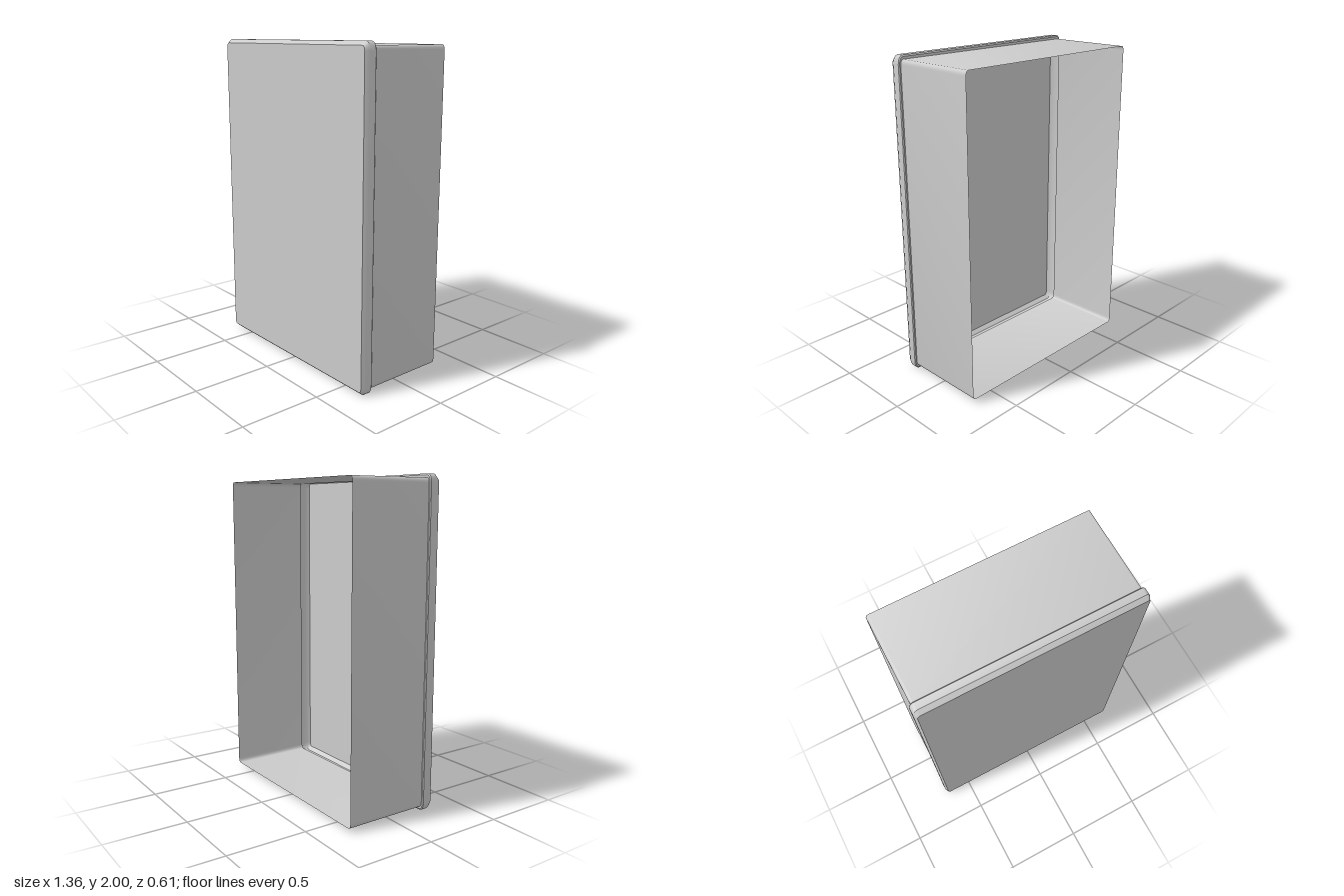
import * as THREE from 'three';
import { toCreasedNormals } from 'three/addons/utils/BufferGeometryUtils.js';

const CORNER_STEPS = 4;
const material = new THREE.MeshStandardMaterial({ color: 0xcccccc, side: THREE.DoubleSide });

// Rounded rectangle ring at depth z, counter-clockwise seen from the front
function ring([z, hx, hy, rx, ry]) {
  const points = [];
  for (let c = 0; c < 4; c++) {
    const sx = c === 0 || c === 3 ? 1 : -1;
    const sy = c < 2 ? 1 : -1;
    for (let i = 0; i <= CORNER_STEPS; i++) {
      const a = (c + i / CORNER_STEPS) * Math.PI / 2;
      points.push([sx * (hx - rx) + rx * Math.cos(a), 1 + sy * (hy - ry) + ry * Math.sin(a), z]);
    }
  }
  return points;
}

// Skin through rings from back to front, optionally closed by a flat face
function loft(name, sections, capped) {
  const rings = sections.map(ring);
  const n = rings[0].length;
  const positions = rings.flat(2);
  const index = [];
  for (let s = 0; s < rings.length - 1; s++) {
    for (let i = 0; i < n; i++) {
      const a = s * n + i, b = s * n + (i + 1) % n;
      index.push(a, b, b + n, a, b + n, a + n);
    }
  }
  if (capped) {
    const first = (rings.length - 1) * n;
    const centre = rings.length * n;
    positions.push(0, 1, sections.at(-1)[0]);
    for (let i = 0; i < n; i++) index.push(centre, first + i, first + (i + 1) % n);
  }
  const geometry = new THREE.BufferGeometry();
  geometry.setAttribute('position', new THREE.Float32BufferAttribute(positions, 3));
  geometry.setIndex(index);
  const mesh = new THREE.Mesh(toCreasedNormals(geometry, 0.6), material);
  mesh.name = name;
  return mesh;
}

export function createModel() {
  const group = new THREE.Group();
  group.name = 'openBox';

  // Thin side walls, open at the back: z, half width, half height, corner radii
  group.add(loft('sideWalls', [
    [-0.305, 0.665, 0.977, 0.018, 0.029],
    [0.23, 0.665, 0.977, 0.018, 0.029],
  ], false));

  // Hollow front panel with a stepped rim and bevelled front edge
  group.add(loft('frontPanel', [
    [0.23, 0.665, 0.977, 0.018, 0.029],
    [0.23, 0.673, 0.992, 0.026, 0.044],
    [0.236, 0.678, 1, 0.031, 0.051],
    [0.279, 0.678, 1, 0.031, 0.051],
    [0.305, 0.665, 0.977, 0.018, 0.029],
  ], true));

  return group;
}
